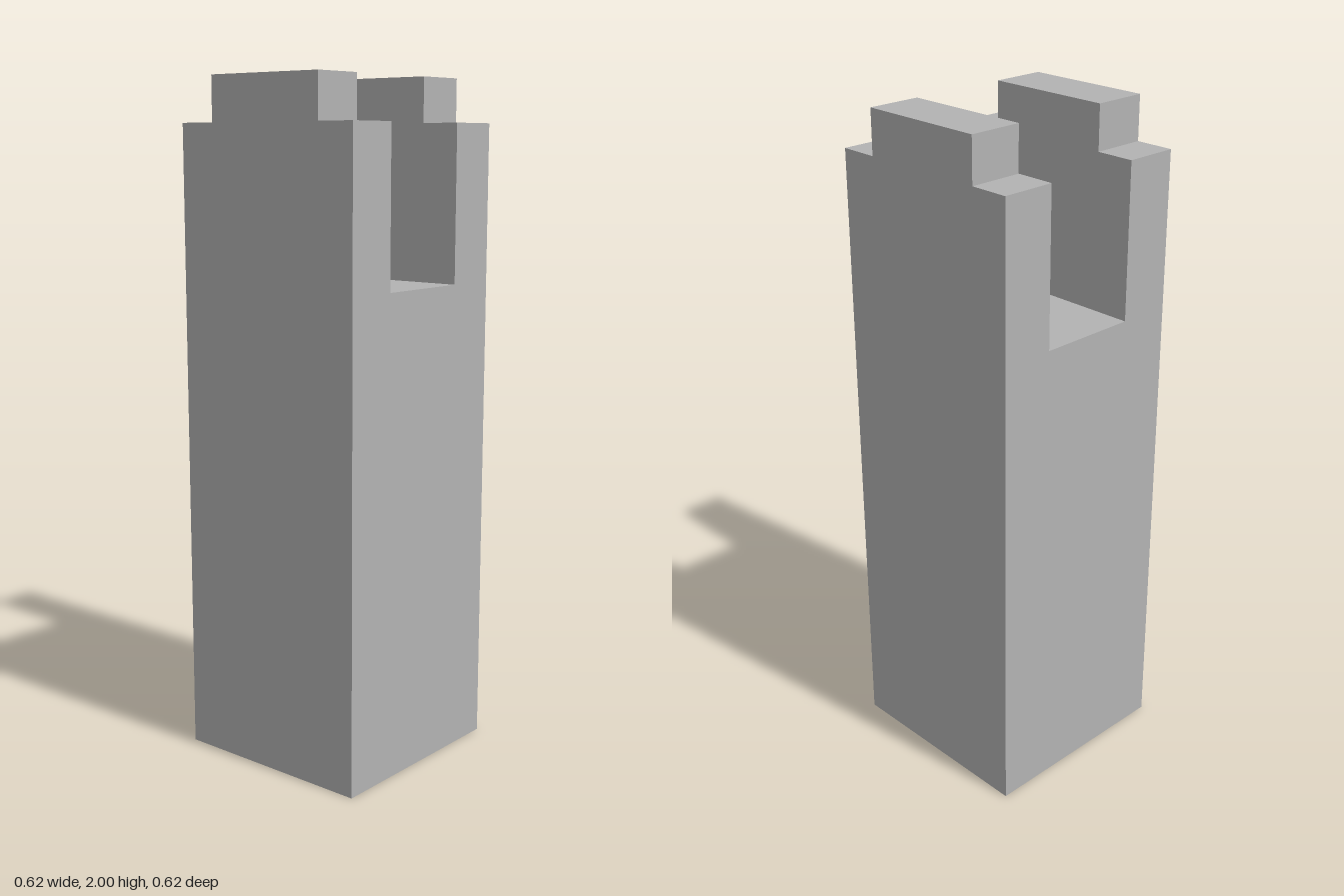
import * as THREE from 'three';

const HALF = 0.3125;    // half width and depth of the post
const SLOT = 0.151;     // half width of the slot
const FLOOR = 1.414;    // height of the slot floor
const SHOULDER = 1.87;  // height of the shoulders
const TOP = 2;
const TAB = 0.195;      // half width of the raised tabs

export function createModel() {
  const model = new THREE.Group();
  model.name = 'slottedPost';
  const grey = new THREE.MeshStandardMaterial({ color: 0xb3b3b3 });
  grey.name = 'grey';

  // One flat face of the closed shell, outlined in its own plane
  function face(name, points, position, rotX = 0, rotY = 0) {
    const shape = new THREE.Shape(points.map(([x, y]) => new THREE.Vector2(x, y)));
    const mesh = new THREE.Mesh(new THREE.ShapeGeometry(shape), grey);
    mesh.name = name;
    mesh.position.set(...position);
    mesh.rotation.set(rotX, rotY, 0);
    model.add(mesh);
  }
  const rect = (w, y0, y1) => [[-w, y0], [w, y0], [w, y1], [-w, y1]];

  // Stepped outline seen from the front, starting at height y0
  const stepped = (y0) => [
    [-HALF, y0], [HALF, y0], [HALF, SHOULDER], [TAB, SHOULDER],
    [TAB, TOP], [-TAB, TOP], [-TAB, SHOULDER], [-HALF, SHOULDER],
  ];
  // Forked outline seen from the side
  const forked = [
    [-HALF, 0], [HALF, 0], [HALF, SHOULDER], [SLOT, SHOULDER],
    [SLOT, FLOOR], [-SLOT, FLOOR], [-SLOT, SHOULDER], [-HALF, SHOULDER],
  ];

  const prongMid = (HALF + SLOT) / 2;
  const prongHalf = (HALF - SLOT) / 2;
  const shoulderMid = (HALF + TAB) / 2;
  const shoulderHalf = (HALF - TAB) / 2;

  // Base and slot floor
  face('base', rect(HALF, -HALF, HALF), [0, 0, 0], Math.PI / 2);
  face('slotFloor', rect(HALF, -SLOT, SLOT), [0, FLOOR, 0], -Math.PI / 2);

  for (const s of [1, -1]) {
    const outward = s > 0 ? 0 : Math.PI;
    const sideways = s * Math.PI / 2;
    const end = s > 0 ? 'front' : 'back';
    const side = s > 0 ? 'left' : 'right';

    // Outer walls and slot walls
    face(end + 'Wall', stepped(0), [0, 0, s * HALF], 0, outward);
    face(end + 'SlotWall', stepped(FLOOR), [0, 0, s * SLOT], 0, Math.PI - outward);
    face(side + 'Wall', forked, [s * HALF, 0, 0], 0, sideways);

    // Top of the raised tab on this prong
    face(end + 'TabTop', rect(TAB, -prongHalf, prongHalf), [0, TOP, s * prongMid], -Math.PI / 2);

    // Shoulders and tab ends on this side of both prongs
    for (const z of [prongMid, -prongMid]) {
      const prong = z > 0 ? 'Front' : 'Back';
      face(side + prong + 'Shoulder', rect(shoulderHalf, -prongHalf, prongHalf),
        [s * shoulderMid, SHOULDER, z], -Math.PI / 2);
      face(side + prong + 'TabEnd', rect(prongHalf, SHOULDER, TOP), [s * TAB, 0, z], 0, sideways);
    }
  }
  return model;
}
